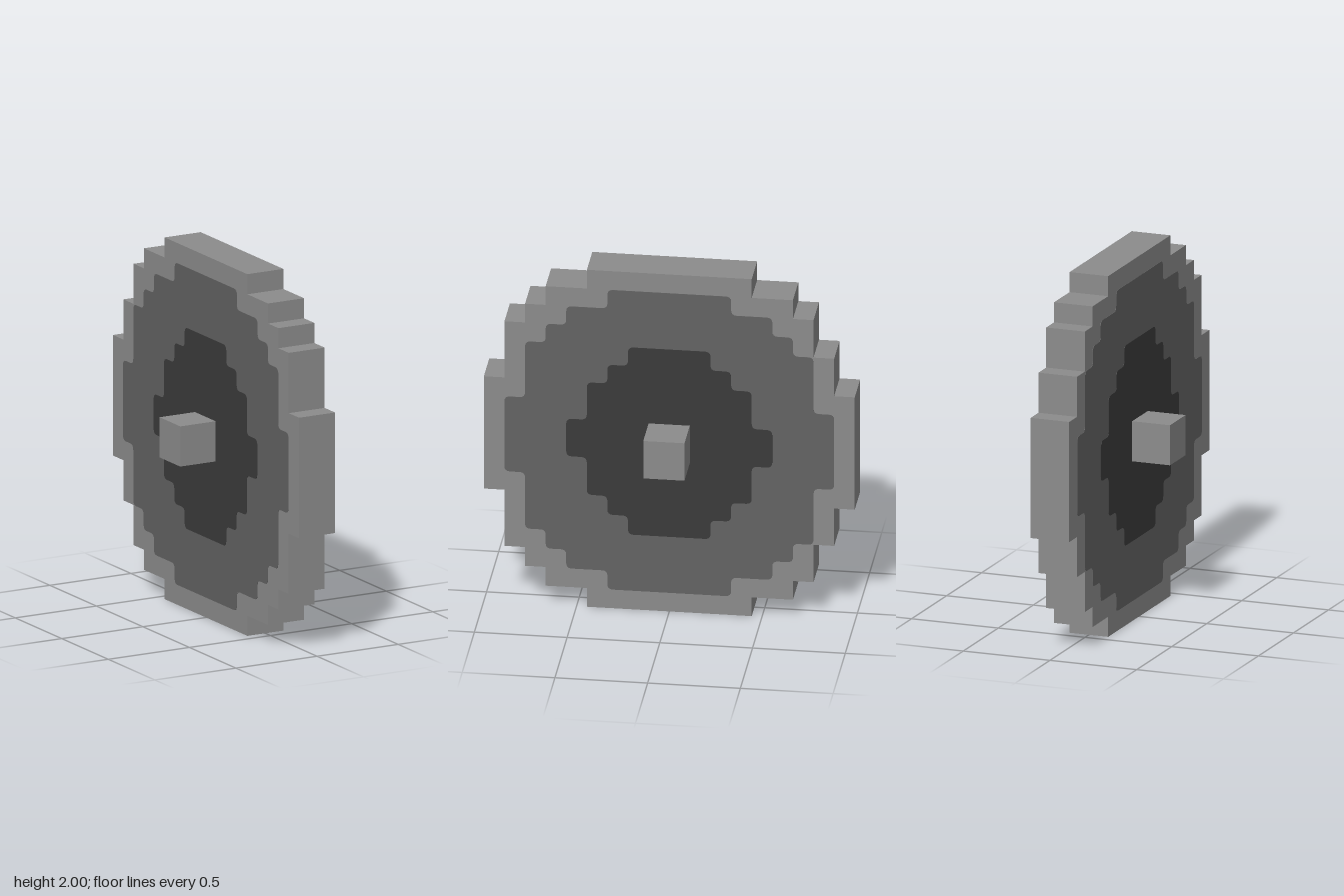
import * as THREE from 'three';

const U = 1 / 9; // size of one stair step

const rimGrey = new THREE.MeshStandardMaterial({ color: 0x8c8c8c });
rimGrey.name = 'rim grey';
const middleGrey = new THREE.MeshStandardMaterial({ color: 0x636363 });
middleGrey.name = 'middle grey';
const hubGrey = new THREE.MeshStandardMaterial({ color: 0x3b3b3b });
hubGrey.name = 'hub grey';

// Corners of one quarter; each step is [half width, top], from the middle up
function quarter(steps, sx, sy) {
  const points = [];
  steps.forEach(([w, top], i) => {
    if (i > 0) points.push(new THREE.Vector2(sx * w * U, sy * steps[i - 1][1] * U));
    points.push(new THREE.Vector2(sx * w * U, sy * top * U));
  });
  return points;
}

// Closed stepped outline, with optional rounding of every corner
function steppedShape(front, back, radius = 0) {
  const points = [
    ...quarter(front, 1, 1),
    ...quarter(back, -1, 1).reverse(),
    ...quarter(back, -1, -1),
    ...quarter(front, 1, -1).reverse(),
  ];
  if (!radius) return new THREE.Shape(points);
  const shape = new THREE.Shape();
  points.forEach((p, i) => {
    const prev = points[(i + points.length - 1) % points.length];
    const next = points[(i + 1) % points.length];
    const a = p.clone().add(prev.clone().sub(p).setLength(radius));
    const b = p.clone().add(next.clone().sub(p).setLength(radius));
    if (i === 0) shape.moveTo(a.x, a.y);
    else shape.lineTo(a.x, a.y);
    shape.quadraticCurveTo(p.x, p.y, b.x, b.y);
  });
  shape.closePath();
  return shape;
}

// Slab of the given thickness, centred, with its faces towards +x and -x
function slab(shape, thickness) {
  const geometry = new THREE.ExtrudeGeometry(shape, { depth: thickness, bevelEnabled: false, curveSegments: 4 });
  return geometry.translate(0, 0, -thickness / 2).rotateY(-Math.PI / 2);
}

export function createModel() {
  const wheel = new THREE.Group();
  wheel.name = 'wheel';
  const add = (name, geometry, material, x = 0) => {
    const mesh = new THREE.Mesh(geometry, material);
    mesh.name = name;
    mesh.position.set(x, 1, 0);
    wheel.add(mesh);
  };

  // Stepped disc, slightly different on its front and back edges
  const front = [[9, 3], [8, 6], [7, 7], [6, 8], [4, 9]];
  const back = [[9, 3], [8, 5], [7, 7], [6, 8], [4, 9]];
  add('rim', slab(steppedShape(front, back), 2 * U), rimGrey);

  // Painted rings on both faces
  const middle = [[8, 2], [7, 5], [6, 6], [5, 7], [3, 8]];
  const hub = [[5, 1], [4, 3], [3, 4], [2, 5]];
  const middlePlate = slab(steppedShape(middle, middle, 0.03), 0.004);
  const hubPlate = slab(steppedShape(hub, hub, 0.03), 0.008);

  // Square axle stubs
  const stub = new THREE.BoxGeometry(2 * U, 2 * U, 2 * U);

  for (const [side, s] of [['left', 1], ['right', -1]]) {
    add(side + 'MiddlePlate', middlePlate, middleGrey, s * U);
    add(side + 'HubPlate', hubPlate, hubGrey, s * U);
    add(side + 'Axle', stub, rimGrey, s * 2 * U);
  }
  return wheel;
}
